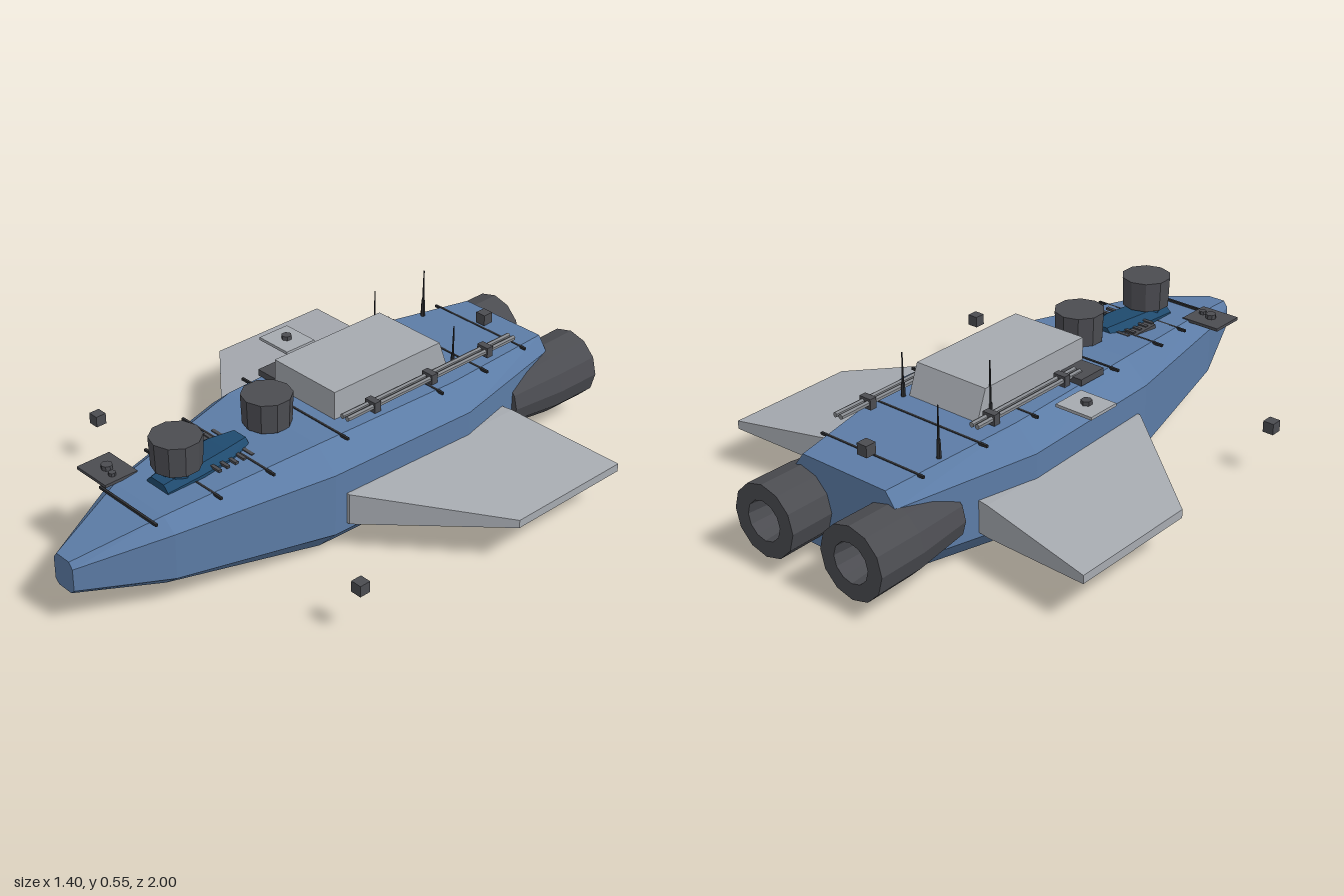
import * as THREE from 'three';

const mat = (name, color, side = THREE.FrontSide) => {
  const m = new THREE.MeshStandardMaterial({ color, flatShading: true, side });
  m.name = name;
  return m;
};

// Joins matching cross-sections (corner lists) into a closed faceted solid
function loft(sections) {
  const pos = [];
  const tri = (a, b, c) => pos.push(...a, ...b, ...c);
  const n = sections[0].length;
  for (let s = 0; s < sections.length - 1; s++) {
    const A = sections[s], B = sections[s + 1];
    for (let i = 0; i < n; i++) {
      const j = (i + 1) % n;
      tri(A[i], B[i], B[j]);
      tri(A[i], B[j], A[j]);
    }
  }
  const first = sections[0], last = sections[sections.length - 1];
  for (let i = 1; i < n - 1; i++) {
    tri(first[0], first[i], first[i + 1]);
    tri(last[0], last[i + 1], last[i]);
  }
  const g = new THREE.BufferGeometry();
  g.setAttribute('position', new THREE.Float32BufferAttribute(pos, 3));
  g.computeVertexNormals();
  return g;
}

export function createModel() {
  const root = new THREE.Group();
  root.name = 'spaceship';
  const blue = mat('hull blue', 0x5c7ca6);
  const grey = mat('panel grey', 0xa6aab0);
  const dark = mat('dark metal', 0x4b4c51);
  const navy = mat('cockpit navy', 0x1f4a6e);
  const black = mat('antenna black', 0x2c2d30);
  const pipeGrey = mat('pipe grey', 0x85888d);

  const add = (name, geo, material, x = 0, y = 0, z = 0) => {
    const m = new THREE.Mesh(geo, material);
    m.name = name;
    m.position.set(x, y, z);
    root.add(m);
    return m;
  };
  const box = (name, material, w, h, d, x, y, z) =>
    add(name, new THREE.BoxGeometry(w, h, d), material, x, y, z);
  const cyl = (name, material, rTop, rBottom, h, x, y, z, sides = 8) =>
    add(name, new THREE.CylinderGeometry(rTop, rBottom, h, sides), material, x, y, z);

  // Hull: z, bottom half-width, side half-width, top half-width, then four heights
  const stations = [
    [1.0, 0.03, 0.045, 0.03, 0.125, 0.14, 0.215, 0.235],
    [0.72, 0.11, 0.165, 0.115, 0.065, 0.11, 0.265, 0.307],
    [0.2, 0.215, 0.287, 0.205, 0.003, 0.08, 0.295, 0.368],
    [-0.36, 0.235, 0.308, 0.23, 0, 0.08, 0.295, 0.372],
    [-0.845, 0.15, 0.2, 0.165, 0.04, 0.1, 0.285, 0.333],
  ];
  add('hull', loft(stations.map(([z, b, s, t, y0, y1, y2, y3]) => [
    [-b, y0, z], [b, y0, z], [s, y1, z], [s, y2, z],
    [t, y3, z], [-t, y3, z], [-s, y2, z], [-s, y1, z],
  ])), blue);

  // Wings: x, front z, back z, low y, high y, from tip to root
  const ribs = [
    [0.7, -0.17, -0.63, 0.142, 0.17],
    [0.3, 0.155, -0.572, 0.105, 0.213],
    [0.22, 0.155, -0.56, 0.105, 0.213],
  ];
  for (const side of [1, -1]) {
    const sections = ribs.map(([x, zf, zb, lo, hi]) => {
      const p = [[side * x, lo, zf], [side * x, lo, zb], [side * x, hi, zb], [side * x, hi, zf]];
      return side > 0 ? p : p.reverse();
    });
    add(side > 0 ? 'leftWing' : 'rightWing', loft(sections), grey);
  }

  // Engines with a recessed nozzle
  const engineProfile = [[0, 0], [0.095, 0], [0.118, 0.2], [0.12, 0.37], [0.066, 0.37], [0.055, 0.24], [0, 0.24]]
    .map(([r, y]) => new THREE.Vector2(r, y));
  for (const side of [1, -1]) {
    const e = add(side > 0 ? 'leftEngine' : 'rightEngine',
      new THREE.LatheGeometry(engineProfile, 12), dark, side * 0.175, 0.175, -0.63);
    e.rotation.x = -Math.PI / 2;
  }

  // Cargo block with a sloping back
  const block = (z, top, y0 = 0.36) => [
    [-0.137, y0, z], [0.137, y0, z], [0.137, top, z], [-0.137, top, z]];
  const rear = block(-0.39, 0.465);
  rear[0][2] = rear[1][2] = -0.43;
  add('cargoBlock', loft([block(0.066, 0.465), rear]), grey);

  // Cockpit under the front turret
  const pane = (z, w, y0, y1) => [
    [-w, y0, z], [w, y0, z], [w, y1 - 0.02, z], [w * 0.6, y1, z], [-w * 0.6, y1, z], [-w, y1 - 0.02, z]];
  add('cockpit', loft([
    pane(0.65, 0.05, 0.29, 0.34), pane(0.53, 0.068, 0.3, 0.36),
    pane(0.42, 0.068, 0.3, 0.37), pane(0.33, 0.045, 0.32, 0.368)]), navy);
  for (let i = 0; i < 5; i++)
    box('cockpitSlat', dark, 0.19, 0.008, 0.012, 0, 0.348, 0.36 + i * 0.032);
  box('cockpitSidePlate', dark, 0.04, 0.015, 0.12, -0.085, 0.34, 0.43);

  // Turrets
  for (const z of [0.575, 0.22])
    cyl('turret', dark, 0.082, 0.078, 0.1, 0, 0.417, z, 10);
  cyl('turretNeck', navy, 0.05, 0.05, 0.05, 0, 0.35, 0.575);

  // Side platforms with knobs
  box('frontPlatform', dark, 0.14, 0.01, 0.12, -0.178, 0.315, 0.7);
  cyl('frontPlatformKnob', dark, 0.018, 0.018, 0.016, -0.18, 0.327, 0.7);
  cyl('frontPlatformSmallKnob', dark, 0.012, 0.012, 0.012, -0.14, 0.325, 0.71);
  box('rearPlatform', grey, 0.135, 0.01, 0.12, -0.323, 0.377, -0.15);
  cyl('rearPlatformKnob', dark, 0.018, 0.018, 0.016, -0.325, 0.388, -0.15, 6);

  // Twin pipes with clamps: x, front z, back z, clamp positions
  const runs = [
    [0.175, 0.06, -0.69, [-0.06, -0.31, -0.565]],
    [-0.172, -0.005, -0.48, [-0.08, -0.405]],
  ];
  for (const [x, zf, zb, clamps] of runs) {
    for (const dx of [-0.011, 0.011])
      cyl('pipe', pipeGrey, 0.009, 0.009, zf - zb, x + dx, 0.39, (zf + zb) / 2, 6).rotation.x = Math.PI / 2;
    for (const z of clamps) box('pipeClamp', dark, 0.045, 0.036, 0.025, x, 0.388, z);
  }
  box('pipeEndBox', dark, 0.09, 0.022, 0.11, -0.18, 0.379, 0.005);

  // Thin cross rods jutting past the deck edges: z, y, half-length
  const rods = [
    [0.76, 0.302, 0.135], [0.555, 0.323, 0.18], [0.38, 0.344, 0.215], [0.11, 0.367, 0.245],
    [-0.29, 0.369, 0.255], [-0.505, 0.358, 0.245], [-0.73, 0.34, 0.205]];
  for (const [z, y, half] of rods)
    box('crossRod', black, half * 2, 0.008, 0.008, 0, y, z);

  // Antennas: x, z, tip height
  for (const [x, z, top] of [[-0.138, -0.37, 0.55], [0.15, -0.44, 0.512], [-0.173, -0.633, 0.52]]) {
    cyl('antenna', black, 0.002, 0.005, top - 0.34, x, (top + 0.34) / 2, z, 6);
    cyl('antennaBase', black, 0.006, 0.008, 0.06, x, 0.38, z, 6);
  }

  // Small sensor cubes, two of them floating beside the nose
  for (const [x, y, z] of [[0.62, 0.177, 0.415], [-0.62, 0.177, 0.415], [0, 0.37, -0.75]])
    box('sensorCube', dark, 0.038, 0.038, 0.038, x, y, z);

  return root;
}
